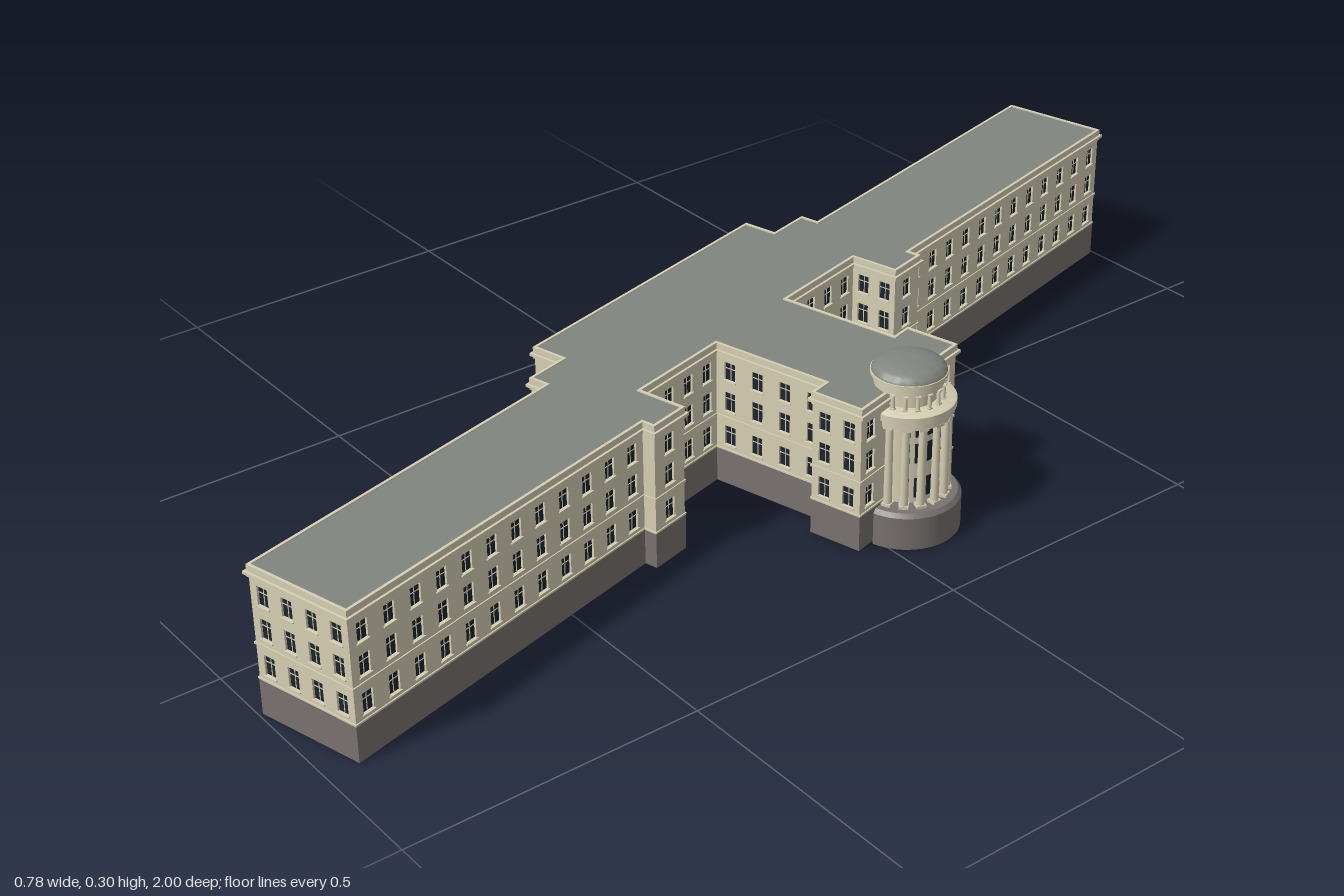
import * as THREE from 'three';
import { mergeGeometries, toCreasedNormals } from 'three/addons/utils/BufferGeometryUtils.js';

const mat = (color, side = THREE.FrontSide) => new THREE.MeshStandardMaterial({ color, side });
const stone = mat(0xd6cfb4, THREE.DoubleSide);
const plinth = mat(0x78726f, THREE.DoubleSide);
const roofGrey = mat(0x80857f);
const glass = mat(0x1b242c);

// Plan outline of the walls: one half, then mirrored
const half = [
  [0.303, 0.132], [0.21, 0.132], [0.21, 0.094], [-0.009, 0.094], [-0.009, 0.29],
  [0.078, 0.29], [0.078, 0.362], [0.055, 0.362], [0.055, 1.001], [-0.136, 1.001],
  [-0.136, 0.362], [-0.17, 0.362], [-0.17, 0.282], [-0.232, 0.282],
];
const plan = [...half, ...half.map(([x, z]) => [x, -z]).reverse()];

const next = (i) => plan[(i + 1) % plan.length];
const normal = (i) => {
  const a = plan[(i + plan.length) % plan.length], b = next((i + plan.length) % plan.length);
  const l = Math.hypot(b[0] - a[0], b[1] - a[1]);
  return [(b[1] - a[1]) / l, -(b[0] - a[0]) / l];
};
// Outline moved outwards by o, as 2D points for an upward extrusion
const outline = (o) => plan.map(([x, z], i) => {
  const p = normal(i - 1), q = normal(i);
  return new THREE.Vector2(x + o * (p[0] + q[0]), -(z + o * (p[1] + q[1])));
});

// Horizontal band following the plan; inner === null makes a solid slab
function band(name, outer, inner, y0, y1, material) {
  const shape = new THREE.Shape(outline(outer));
  if (inner !== null) shape.holes.push(new THREE.Path(outline(inner)));
  const g = new THREE.ExtrudeGeometry(shape, { depth: y1 - y0, bevelEnabled: false });
  g.rotateX(-Math.PI / 2).translate(0, y0, 0);
  const m = new THREE.Mesh(g, material);
  m.name = name;
  return m;
}

const box = (w, h, d, x, y, z) => new THREE.BoxGeometry(w, h, d).translate(x, y, z);
const rect = (T, x0, y0, x1, y1) => new T([[x0, y0], [x1, y0], [x1, y1], [x0, y1]]
  .map((p) => new THREE.Vector2(...p)));

const WALL0 = 0.064, WALL1 = 0.244, SKIN = 0.005, WIN = 0.021;
const floors = [[0.074, 0.109], [0.137, 0.172], [0.194, 0.227]];

// One facade: wall skin with openings, recessed panes, glazing bars and sills
function facade(i) {
  const a = plan[i], b = next(i), n = normal(i);
  const len = Math.hypot(b[0] - a[0], b[1] - a[1]);
  const count = len < 0.033 ? 0 : Math.max(1, Math.round(len / 0.053));
  const wall = rect(THREE.Shape, 0, WALL0, len, WALL1);
  const panes = [], trim = [];
  for (let k = 0; k < count; k++) {
    const x = len * (k + 0.5) / count;
    for (const [y0, y1] of floors) {
      const h = y1 - y0, y = (y0 + y1) / 2;
      wall.holes.push(rect(THREE.Path, x - WIN / 2, y0, x + WIN / 2, y1));
      panes.push(box(WIN, h, 0.001, x, y, -0.0042));
      trim.push(box(0.0014, h, 0.001, x, y, -0.0034));
      trim.push(box(WIN, 0.0014, 0.001, x, y0 + h * 0.64, -0.0034));
      trim.push(box(WIN + 0.004, 0.002, 0.003, x, y0 - 0.001, 0.001));
    }
  }
  const g = new THREE.Group();
  g.name = 'facade';
  const add = (geo, material, name) => {
    const m = new THREE.Mesh(geo, material);
    m.name = name;
    g.add(m);
  };
  add(new THREE.ExtrudeGeometry(wall, { depth: SKIN, bevelEnabled: false }).translate(0, 0, -SKIN), stone, 'wall');
  if (count) {
    add(mergeGeometries(panes), glass, 'windowPanes');
    add(mergeGeometries(trim), stone, 'windowTrim');
  }
  g.position.set(b[0], 0, b[1]);
  g.rotation.y = Math.atan2(n[0], n[1]);
  return g;
}

// Round corner tower with colonnade, small lantern and dome
function tower() {
  const g = new THREE.Group();
  g.name = 'tower';
  const lathe = (name, pts, material, full = false) => {
    const geo = new THREE.LatheGeometry(pts.map((p) => new THREE.Vector2(...p)), full ? 48 : 28, 0, full ? Math.PI * 2 : Math.PI);
    const m = new THREE.Mesh(toCreasedNormals(geo, 0.5), material);
    m.name = name;
    g.add(m);
  };
  lathe('towerPlinth', [[0.09, 0], [0.09, 0.057], [0.084, 0.064], [0.04, 0.064]], plinth);
  lathe('towerDrum', [[0.052, 0.064], [0.052, 0.21]], stone);
  lathe('entablature', [[0.05, 0.208], [0.073, 0.208], [0.073, 0.218], [0.077, 0.22],
    [0.077, 0.232], [0.073, 0.234], [0.04, 0.234]], stone);
  lathe('lanternDrum', [[0.046, 0.234], [0.046, 0.264]], stone, true);
  lathe('lanternCornice', [[0.045, 0.258], [0.056, 0.258], [0.056, 0.273], [0.0618, 0.274], [0.0618, 0.28], [0.058, 0.281]], stone, true);
  const dome = [];
  for (let i = 0; i <= 10; i++) {
    const t = (i / 10) * Math.PI / 2;
    dome.push([0.0605 * Math.cos(t), 0.28 + 0.02 * Math.sin(t)]);
  }
  lathe('dome', dome, roofGrey, true);

  // Columns with bases and capitals, set round the half circle
  const colonnade = (name, count, radius, r, y0, y1) => {
    const parts = [];
    for (let i = 0; i < count; i++) {
      const t = (-82 + 164 * i / (count - 1)) * Math.PI / 180;
      const x = radius * Math.cos(t), z = radius * Math.sin(t);
      const h = y1 - y0, c = r * 0.7;
      parts.push(new THREE.CylinderGeometry(r * 0.85, r, h, 12).translate(x, y0 + h / 2, z));
      for (const y of [y0 + c / 2, y1 - c / 2]) {
        parts.push(new THREE.BoxGeometry(r * 2.3, c, r * 2.3).rotateY(-t).translate(x, y, z));
      }
    }
    const m = new THREE.Mesh(mergeGeometries(parts), stone);
    m.name = name;
    g.add(m);
  };
  colonnade('columns', 8, 0.065, 0.007, WALL0, 0.21);
  colonnade('lanternColumns', 9, 0.056, 0.0035, 0.234, 0.26);

  // Tall windows between the columns
  const panes = [];
  for (const t of [-58.6, -35.1, -11.7, 11.7, 35.1, 58.6].map((d) => d * Math.PI / 180)) {
    for (const [y0, y1] of floors.slice(0, 2).concat([[0.184, 0.204]])) {
      panes.push(new THREE.BoxGeometry(0.002, y1 - y0, 0.013).rotateY(-t)
        .translate(0.052 * Math.cos(t), (y0 + y1) / 2, 0.052 * Math.sin(t)));
    }
  }
  const windows = new THREE.Mesh(mergeGeometries(panes), glass);
  windows.name = 'towerWindows';
  g.add(windows);
  g.position.set(0.309, 0, 0.012);
  return g;
}

export function createModel() {
  const building = new THREE.Group();
  building.name = 'building';
  building.add(
    band('basement', 0.001, -0.006, 0, WALL0, plinth),
    band('innerWalls', -SKIN, -0.007, WALL0, WALL1, stone),
    band('plinthMoulding', 0.002, -0.004, 0.063, 0.066, stone),
    band('beltCourse', 0.002, -0.004, 0.123, 0.127, stone),
    band('frieze', 0.002, -0.004, 0.237, 0.242, stone),
    band('cornice', 0.006, -0.004, 0.242, 0.247, stone),
    band('parapet', 0.002, -0.003, 0.247, 0.258, stone),
    band('roof', -0.002, null, 0.246, 0.256, roofGrey),
  );
  for (let i = 0; i < plan.length; i++) building.add(facade(i));
  building.add(tower());

  // The plan stands turned on the site
  const angle = THREE.MathUtils.degToRad(14.45);
  building.rotation.y = angle;
  building.position.set(-0.011 * Math.sin(angle), 0, -0.011 * Math.cos(angle));
  const model = new THREE.Group();
  model.name = 'model';
  model.add(building);
  return model;
}
